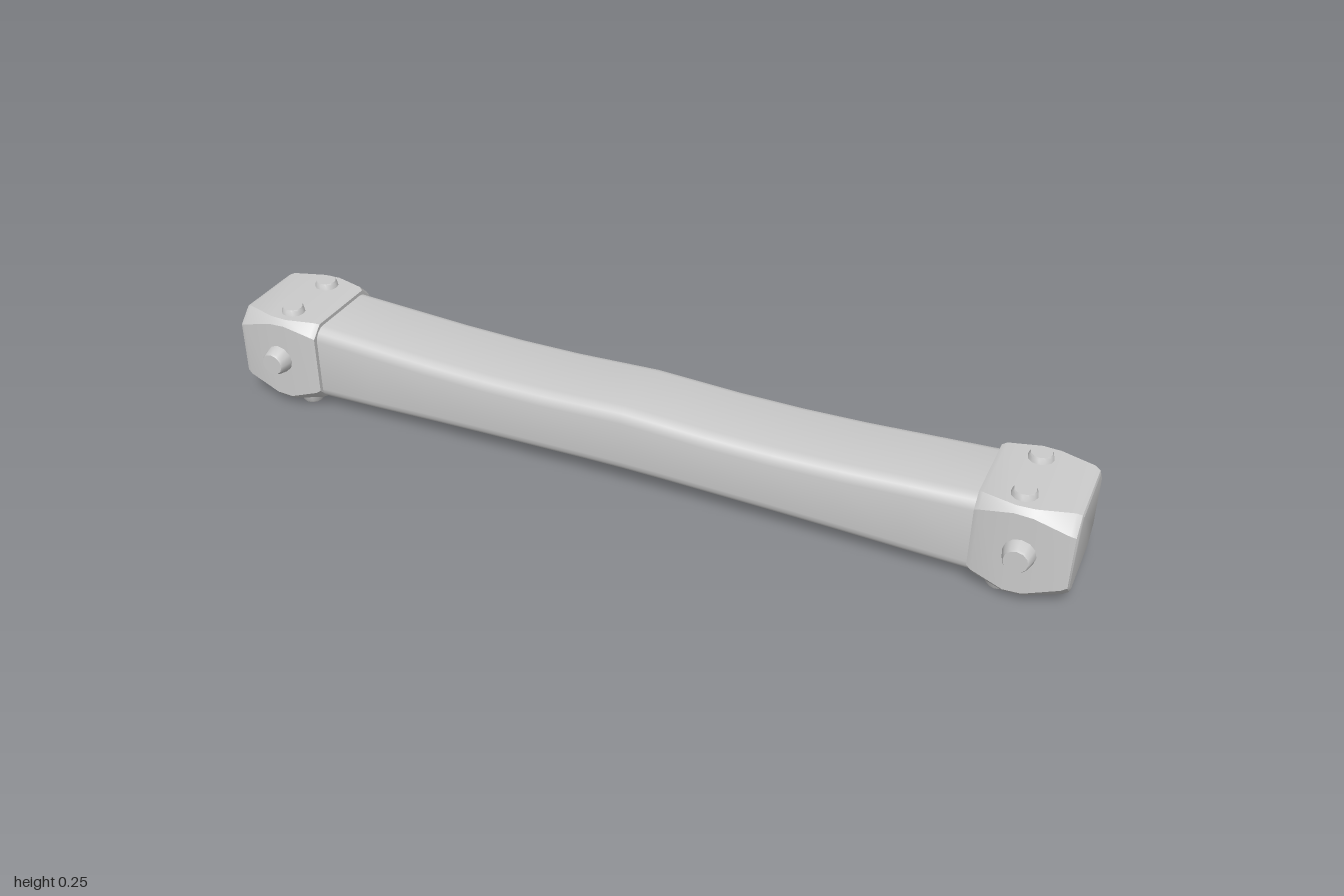
import * as THREE from 'three';
import { toCreasedNormals } from 'three/addons/utils/BufferGeometryUtils.js';

const material = new THREE.MeshStandardMaterial({ color: 0xcccccc });

// Rectangle ring in the y-z plane whose corners are cut (steps 1) or rounded
function ring({ x, bottom, top, halfZ, corner, steps }) {
  const cy = (top + bottom) / 2, halfY = (top - bottom) / 2;
  const points = [];
  for (let q = 0; q < 4; q++) {
    const sy = q === 0 || q === 3 ? 1 : -1;
    const sz = q < 2 ? 1 : -1;
    for (let s = 0; s <= steps; s++) {
      const a = (q + s / steps) * Math.PI / 2;
      points.push([x,
        cy + sy * (halfY - corner) + corner * Math.cos(a),
        sz * (halfZ - corner) + corner * Math.sin(a)]);
    }
  }
  return points;
}

// Closed skin through rings running along +x
function loft(sections, crease) {
  const rings = sections.map(ring);
  const n = rings[0].length;
  const vertices = rings.flat(2);
  const index = [];
  for (let r = 0; r < rings.length - 1; r++) {
    for (let i = 0; i < n; i++) {
      const j = (i + 1) % n, a = r * n, b = a + n;
      index.push(a + i, a + j, b + j, a + i, b + j, b + i);
    }
  }
  const last = (rings.length - 1) * n;
  for (let i = 1; i < n - 1; i++) {
    index.push(0, i + 1, i, last, last + i, last + i + 1);
  }
  const geometry = new THREE.BufferGeometry();
  geometry.setAttribute('position', new THREE.Float32BufferAttribute(vertices, 3));
  geometry.setIndex(index);
  return toCreasedNormals(geometry, crease);
}

function addMesh(parent, name, geometry) {
  const mesh = new THREE.Mesh(geometry, material);
  mesh.name = name;
  parent.add(mesh);
  return mesh;
}

// Tapered stud pointing along +y, its base at the origin
function studGeometry(baseRadius, tipRadius, height) {
  const profile = [[baseRadius, 0], [tipRadius + 0.003, height - 0.005], [tipRadius, height], [0, height]]
    .map(([r, y]) => new THREE.Vector2(r, y));
  return toCreasedNormals(new THREE.LatheGeometry(profile, 12), 0.6);
}

function makeEndCap() {
  const cap = new THREE.Group();

  // Block with cut corners that widen towards both ends
  const sections = [
    [0.79, 0.034, 0.231, 0.119, 0.028],
    [0.8, 0.03, 0.235, 0.123, 0.026],
    [0.87, 0.018, 0.236, 0.126, 0.012],
    [0.91, 0.018, 0.236, 0.126, 0.014],
    [0.985, 0.03, 0.235, 0.124, 0.034],
    [0.997, 0.036, 0.23, 0.119, 0.034],
    [1.0, 0.042, 0.224, 0.113, 0.032],
  ].map(([x, bottom, top, halfZ, corner]) => ({ x, bottom, top, halfZ, corner, steps: 1 }));
  addMesh(cap, 'capBlock', loft(sections, 0.45));

  // Studs on the top, bottom and both sides
  const smallStud = studGeometry(0.031, 0.023, 0.03);
  const largeStud = studGeometry(0.038, 0.026, 0.045);
  for (const side of [-1, 1]) {
    addMesh(cap, 'topStud', smallStud).position.set(0.877, 0.22, side * 0.07);
    const under = addMesh(cap, 'bottomStud', smallStud);
    under.position.set(0.85, 0.03, side * 0.07);
    under.rotation.x = Math.PI;
    const lateral = addMesh(cap, 'sideStud', largeStud);
    lateral.position.set(0.893, 0.13, side * 0.112);
    lateral.rotation.x = side * Math.PI / 2;
  }
  return cap;
}

export function createModel() {
  const model = new THREE.Group();
  model.name = 'studdedBeam';

  // Gently waisted beam with a slight rise on top at the middle: x, bottom, top
  const half = [
    [0, 0.05, 0.212], [0.1, 0.049, 0.208], [0.2, 0.047, 0.204], [0.35, 0.044, 0.203],
    [0.5, 0.04, 0.207], [0.65, 0.035, 0.215], [0.82, 0.031, 0.224],
  ];
  const stations = [...half.slice(1).reverse().map(([x, b, t]) => [-x, b, t]), ...half];
  const beam = stations.map(([x, bottom, top]) =>
    ({ x, bottom, top, halfZ: 0.109, corner: 0.03, steps: 4 }));
  addMesh(model, 'beam', loft(beam, 0.8));

  // Matching caps at both ends
  const leftCap = makeEndCap();
  leftCap.name = 'leftEndCap';
  const rightCap = makeEndCap();
  rightCap.name = 'rightEndCap';
  rightCap.rotation.y = Math.PI;
  model.add(leftCap, rightCap);

  return model;
}
